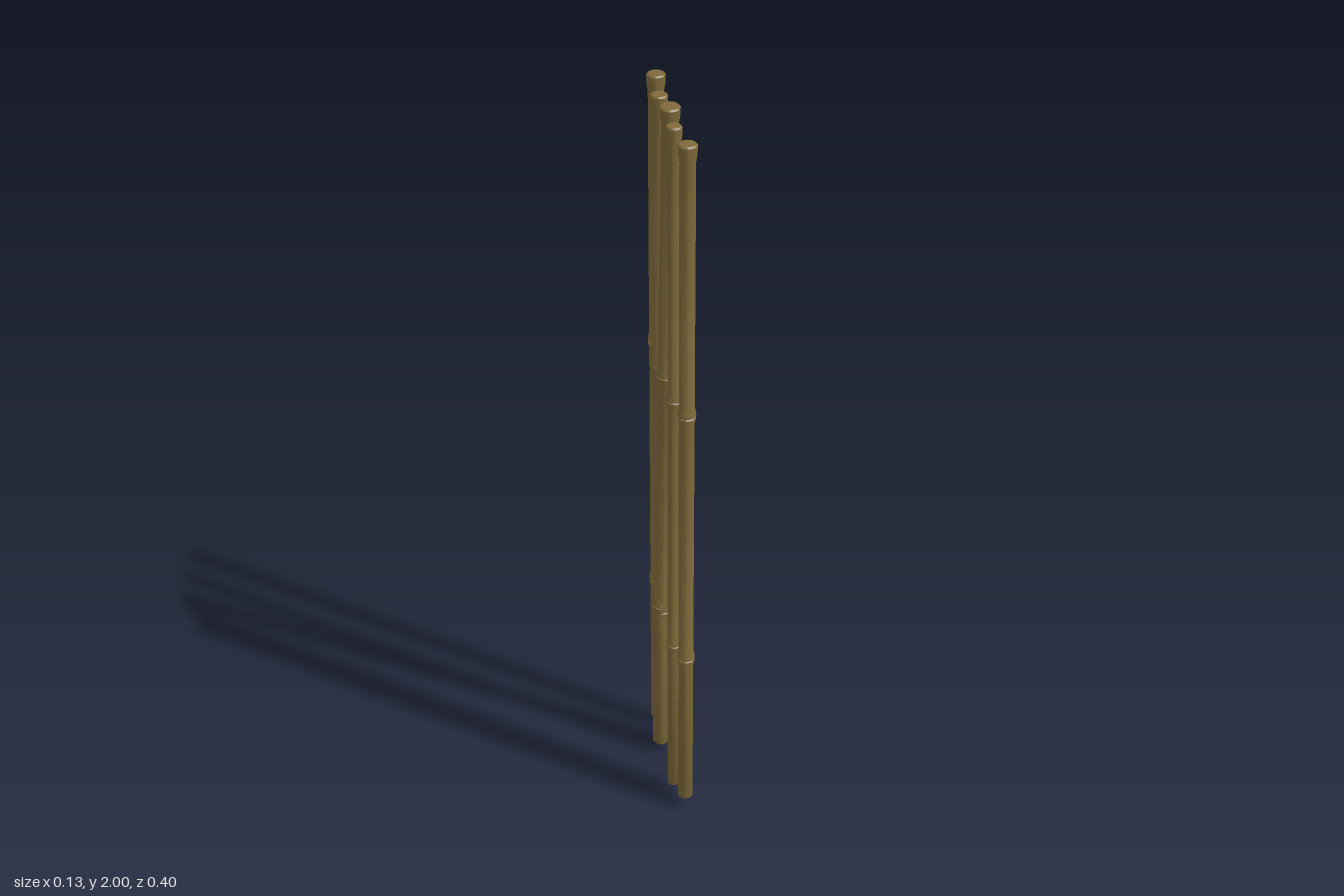
import * as THREE from 'three';
import { toCreasedNormals } from 'three/addons/utils/BufferGeometryUtils.js';

const bamboo = new THREE.MeshStandardMaterial({ color: 0x7f6a3a });

// Lathe profile: shaft with two swollen joints and a flared, bevelled top
function poleGeometry(r, length) {
  const profile = [[0, 0], [r * 0.9, 0], [r, 0.003]];
  for (const t of [0.24, 0.622]) {
    const y = t * length;
    profile.push(
      [r, y - 0.022], [r * 1.16, y - 0.006], [r * 1.16, y - 0.003],
      [r * 1.02, y], [r * 1.2, y + 0.004], [r * 1.16, y + 0.011], [r, y + 0.024]
    );
  }
  profile.push(
    [r, length - 0.045], [r * 1.16, length - 0.026], [r * 1.2, length - 0.004],
    [r * 1.02, length], [0, length]
  );
  const points = profile.map(([x, y]) => new THREE.Vector2(x, y));
  return toCreasedNormals(new THREE.LatheGeometry(points, 20), 0.6);
}

// Pole standing between two end points
function addPole(group, name, r, base, top) {
  const a = new THREE.Vector3(...base);
  const axis = new THREE.Vector3(...top).sub(a);
  const pole = new THREE.Mesh(poleGeometry(r, axis.length()), bamboo);
  pole.name = name;
  pole.position.copy(a);
  pole.quaternion.setFromUnitVectors(new THREE.Vector3(0, 1, 0), axis.normalize());
  group.add(pole);
}

export function createModel() {
  const group = new THREE.Group();
  group.name = 'bambooPoles';

  // Upright poles: name, radius, x, z, bottom, top
  const uprights = [
    ['frontPole', 0.0195, -0.044, 0.178, 0.04, 1.96],
    ['thinPole', 0.0162, -0.045, 0.107, 0.03, 1.975],
    ['middlePole', 0.018, -0.003, -0.066, 0.03, 1.975],
    ['backPole', 0.0198, 0.041, -0.179, 0.03, 1.975],
  ];
  for (const [name, r, x, z, y0, y1] of uprights) addPole(group, name, r, [x, y0, z], [x, y1, z]);

  // Leaning pole crossing the middle one
  addPole(group, 'leaningPole', 0.0208, [0.013, 0.002, -0.105], [-0.029, 1.998, 0.051]);

  return group;
}
